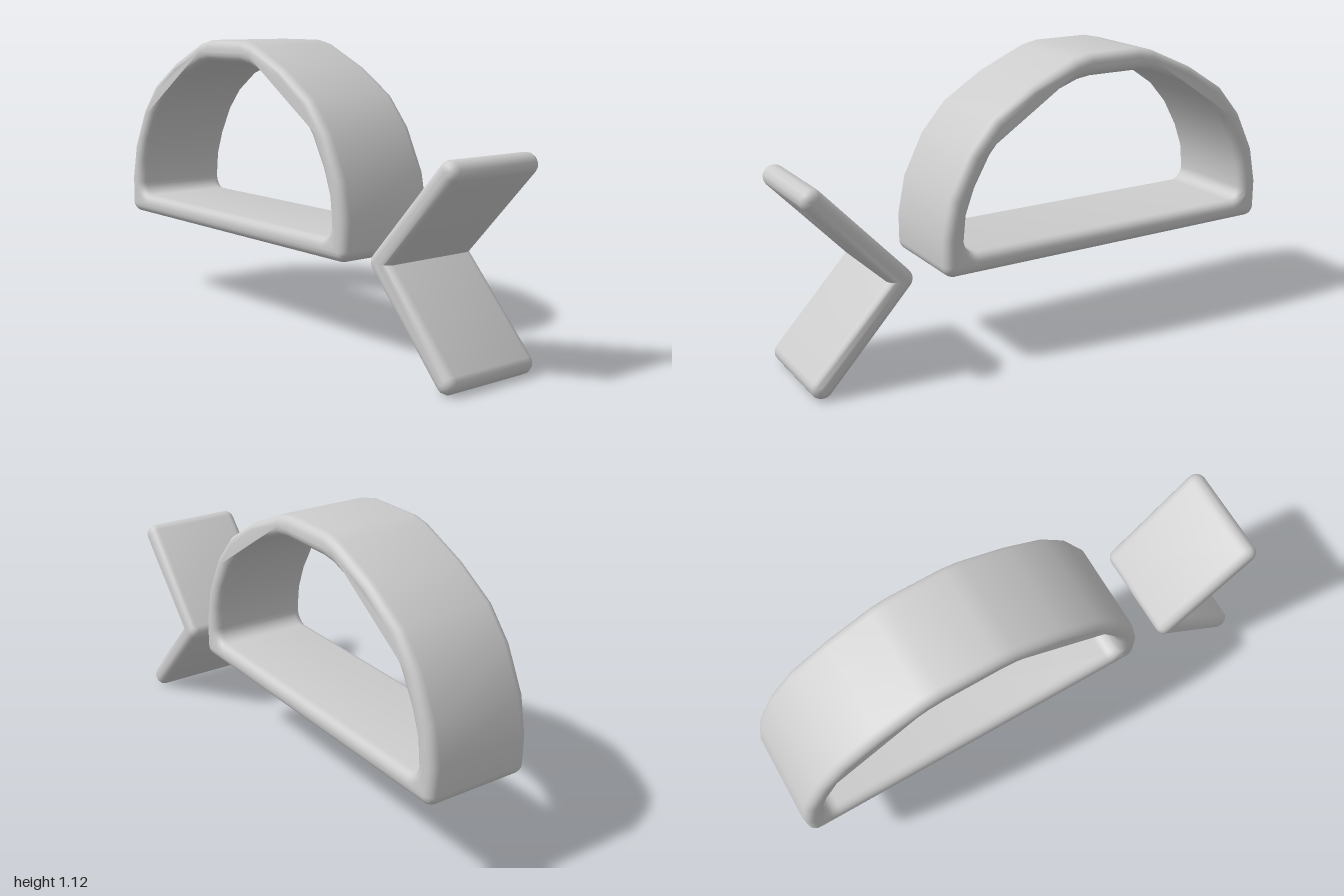
import * as THREE from 'three';
import { toCreasedNormals } from 'three/addons/utils/BufferGeometryUtils.js';

const BEVEL = 0.035;
const DEPTH = 0.42;

// Extrude along z with softly rounded rims, centred on z = 0
function softExtrude(shape, bevelOffset) {
  const depth = DEPTH - 2 * BEVEL;
  const geo = new THREE.ExtrudeGeometry(shape, {
    depth, bevelEnabled: true, bevelThickness: BEVEL, bevelSize: BEVEL,
    bevelOffset, bevelSegments: 5,
  });
  geo.translate(0, 0, -depth / 2);
  return toCreasedNormals(geo, 0.7);
}

// Points of an arc about (cx, cy) from angle a to angle b
function arc(cx, cy, r, a, b, n = 6) {
  return Array.from({ length: n + 1 }, (_, i) => {
    const t = a + (b - a) * i / n;
    return new THREE.Vector2(cx + r * Math.cos(t), cy + r * Math.sin(t));
  });
}

// Complete a left half (bottom to top) by mirroring it about x = mid
function mirrored(left, mid) {
  const right = left.map(p => new THREE.Vector2(2 * mid - p.x, p.y)).reverse();
  return [...left, ...right];
}

const toVectors = list => list.map(([x, y]) => new THREE.Vector2(x, y));

// Half-round band closed by a straight base
function archBand() {
  const mid = -0.263;
  const outer = [
    ...arc(-0.958, 0.392, 0.042, 1.5 * Math.PI, Math.PI),
    ...toVectors([[-1, 0.5], [-0.97, 0.645], [-0.89, 0.805], [-0.79, 0.92],
      [-0.63, 1.02], [-0.445, 1.102], [-0.375, 1.117]]),
  ];
  const inner = [
    ...arc(-0.863, 0.482, 0.052, 1.5 * Math.PI, Math.PI),
    ...toVectors([[-0.905, 0.58], [-0.87, 0.675], [-0.805, 0.79], [-0.725, 0.88],
      [-0.607, 0.96], [-0.43, 1.025], [-0.375, 1.033]]),
  ];
  const shape = new THREE.Shape(mirrored(outer, mid));
  // The opening runs the opposite way round to the outline
  shape.holes.push(new THREE.Path(mirrored(inner, mid).reverse()));
  return softExtrude(shape, -BEVEL);
}

// Two equal arms meeting at a rounded corner that points to -x
function chevron() {
  const vx = 0.639, midY = 0.3835, endX = 0.957, rise = 0.341;
  const r = 0.0415 - BEVEL;
  const a = Math.atan2(rise, endX - vx);
  const h = Math.PI / 2;
  const shape = new THREE.Shape([
    ...arc(endX, midY + rise, r, a - h, a + h),
    ...arc(vx, midY, r, a + h, 2 * Math.PI - a - h),
    ...arc(endX, midY - rise, r, -a - h, -a + h),
    new THREE.Vector2(vx + r / Math.sin(a), midY),
  ]);
  return softExtrude(shape, 0);
}

export function createModel() {
  const group = new THREE.Group();
  const grey = new THREE.MeshStandardMaterial({ color: 0xcccccc });
  grey.name = 'light grey';

  const parts = { archBand: archBand(), chevronBracket: chevron() };
  for (const [name, geometry] of Object.entries(parts)) {
    const mesh = new THREE.Mesh(geometry, grey);
    mesh.name = name;
    group.add(mesh);
  }
  return group;
}
